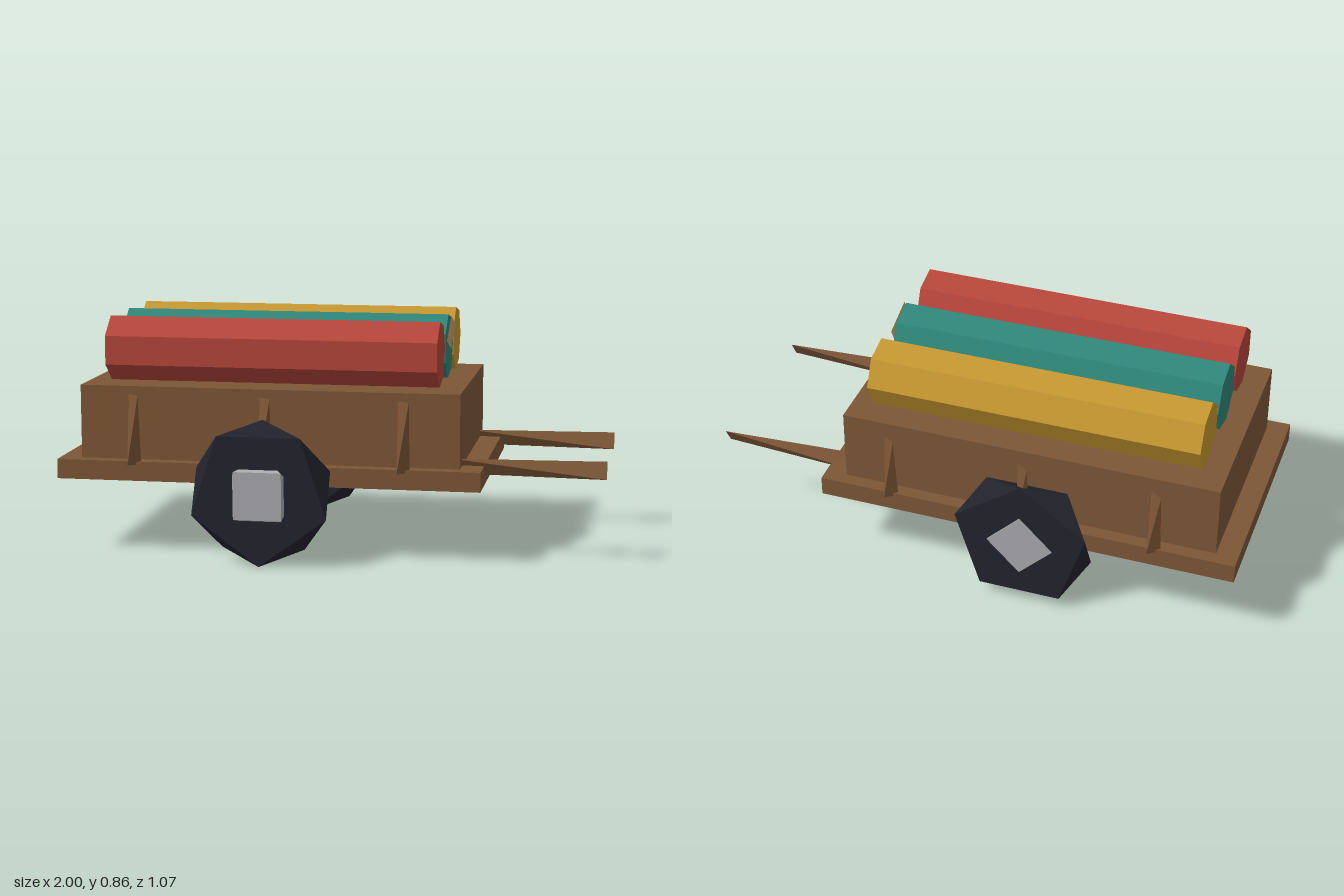
import * as THREE from 'three';

const flat = (name, color) => {
  const m = new THREE.MeshStandardMaterial({ color, flatShading: true });
  m.name = name;
  return m;
};

// Twisted prism along z: the back n-gon is turned half a step from the front one.
// With n = 2 it becomes a tapered four-faced splint.
function antiprism(n, rx, ry, depth, start) {
  const ring = (z, turn) => Array.from({ length: n }, (_, i) => {
    const a = start + turn + (i * 2 * Math.PI) / n;
    return [rx * Math.cos(a), ry * Math.sin(a), z];
  });
  const f = ring(depth / 2, 0), b = ring(-depth / 2, Math.PI / n);
  const pos = [];
  const tri = (...pts) => pts.forEach((p) => pos.push(...p));
  for (let i = 0; i < n; i++) {
    const j = (i + 1) % n;
    tri(f[i], b[i], f[j]);
    tri(b[i], b[j], f[j]);
    if (i > 0 && i < n - 1) {
      tri(f[0], f[i], f[j]);
      tri(b[0], b[j], b[i]);
    }
  }
  const g = new THREE.BufferGeometry();
  g.setAttribute('position', new THREE.Float32BufferAttribute(pos, 3));
  g.computeVertexNormals();
  return g;
}

export function createModel() {
  const model = new THREE.Group();
  model.name = 'handcart';
  const wood = flat('wood', 0x7c5636);
  const tyre = flat('dark wheel', 0x22222d);
  const metal = flat('hub grey', 0xa9a8ad);
  const paper = flat('tag tan', 0xc4a26c);
  paper.side = THREE.DoubleSide;
  const cloths = [flat('red cloth', 0xb5453a), flat('teal cloth', 0x2e8577), flat('yellow cloth', 0xc4962f)];

  const midZ = -0.052;
  const add = (name, geo, mat, x, y, z) => {
    const m = new THREE.Mesh(geo, mat);
    m.name = name;
    m.position.set(x, y, z);
    model.add(m);
    return m;
  };

  // Bed and crate
  add('bed', new THREE.BoxGeometry(1.56, 0.072, 0.884), wood, -0.22, 0.309, midZ);
  add('crate', new THREE.BoxGeometry(1.4, 0.271, 0.786), wood, -0.22, 0.48, midZ);

  // Cloth rolls, seven-sided
  const roll = new THREE.CylinderGeometry(0.122, 0.122, 1.226, 7, 1, false, Math.PI);
  roll.rotateZ(-Math.PI / 2);
  cloths.forEach((mat, i) => add('clothRoll', roll, mat, -0.222, 0.74, midZ + 0.247 * (1 - i)));

  // Tilted tag on the end of the middle roll
  const tag = new THREE.PlaneGeometry(0.145, 0.195);
  tag.rotateX(0.12).rotateY(Math.PI / 2).rotateX(-0.32);
  add('tag', tag, paper, 0.391, 0.74, midZ);

  // Stakes along both sides
  const stake = antiprism(2, 0.0215 * Math.SQRT2, 0.016 * Math.SQRT2, 0.259, -Math.PI / 4);
  stake.rotateX(-Math.PI / 2);
  for (const side of [1, -1]) {
    for (const x of [-0.707, -0.22, 0.283]) add('stake', stake, wood, x, 0.4625, midZ + side * 0.446);
  }

  // Pull handles
  const handle = antiprism(2, 0.0172 * Math.SQRT2, 0.03 * Math.SQRT2, 0.56, Math.PI / 4);
  handle.rotateY(Math.PI / 2);
  for (const side of [1, -1]) add('handle', handle, wood, 0.72, 0.341, midZ + side * 0.3075);

  // Wheels with hubs, both facing the same way
  const wheel = antiprism(5, 0.258, 0.26, 0.086, -Math.PI / 2);
  const hub = antiprism(4, 0.123, 0.123, 0.108, Math.PI / 4);
  for (const z of [0.4725, -0.4875]) {
    add('wheel', wheel, tyre, -0.22, 0.26, z);
    add('hub', hub, metal, -0.22, 0.26, z + 0.0085);
  }
  return model;
}
